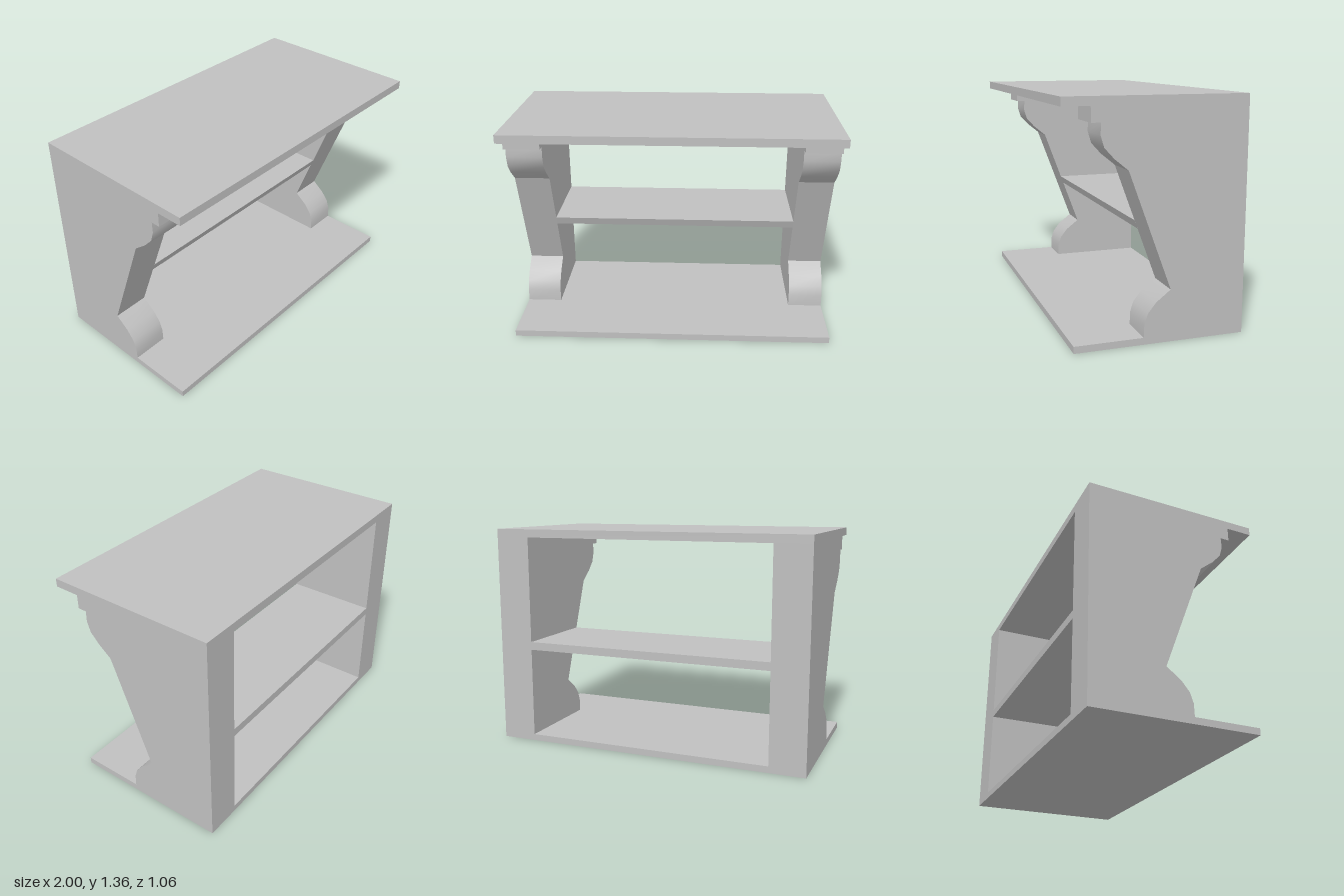
import * as THREE from 'three';
import { toCreasedNormals } from 'three/addons/utils/BufferGeometryUtils.js';

const BACK = -0.53;

export function createModel() {
  const model = new THREE.Group();
  model.name = 'console';
  const grey = new THREE.MeshStandardMaterial({ color: 0xc0c0c0 });
  grey.name = 'plain grey';

  // Extrudes a side profile of [z, y] points across x, from x0 to x1
  function profilePart(name, points, x0, x1) {
    const shape = new THREE.Shape(points.map(([z, y]) => new THREE.Vector2(z, y)));
    const extruded = new THREE.ExtrudeGeometry(shape, { depth: x1 - x0, bevelEnabled: false });
    extruded.rotateY(-Math.PI / 2).translate(x1, 0, 0);
    const mesh = new THREE.Mesh(toCreasedNormals(extruded, 0.48), grey);
    mesh.name = name;
    model.add(mesh);
  }

  // Flat board running the full width
  function board(name, y0, y1, front) {
    const geometry = new THREE.BoxGeometry(2, y1 - y0, front - BACK);
    geometry.translate(0, (y0 + y1) / 2, (front + BACK) / 2);
    const mesh = new THREE.Mesh(geometry, grey);
    mesh.name = name;
    model.add(mesh);
  }

  board('topBoard', 1.31, 1.36, 0.53);
  board('baseBoard', 0, 0.04, 0.47);

  // Side panels: scrolled foot, sloping front, scrolled bracket, stepped moulding
  const sideProfile = [
    [BACK, 0.04], [0.07, 0.04],
    [0.068, 0.115], [0.048, 0.175], [0, 0.235], [-0.085, 0.3],
    [0.165, 0.97],
    [0.245, 1.035], [0.3, 1.095], [0.32, 1.16], [0.317, 1.225],
    [0.372, 1.225], [0.372, 1.31], [BACK, 1.31],
  ];
  profilePart('leftSide', sideProfile, 0.78, 1);
  profilePart('rightSide', sideProfile, -1, -0.78);

  // Shelf whose front edge follows the slope of the sides
  profilePart('shelf', [[BACK, 0.6], [0.027, 0.6], [0.046, 0.65], [BACK, 0.65]], -0.78, 0.78);

  return model;
}
